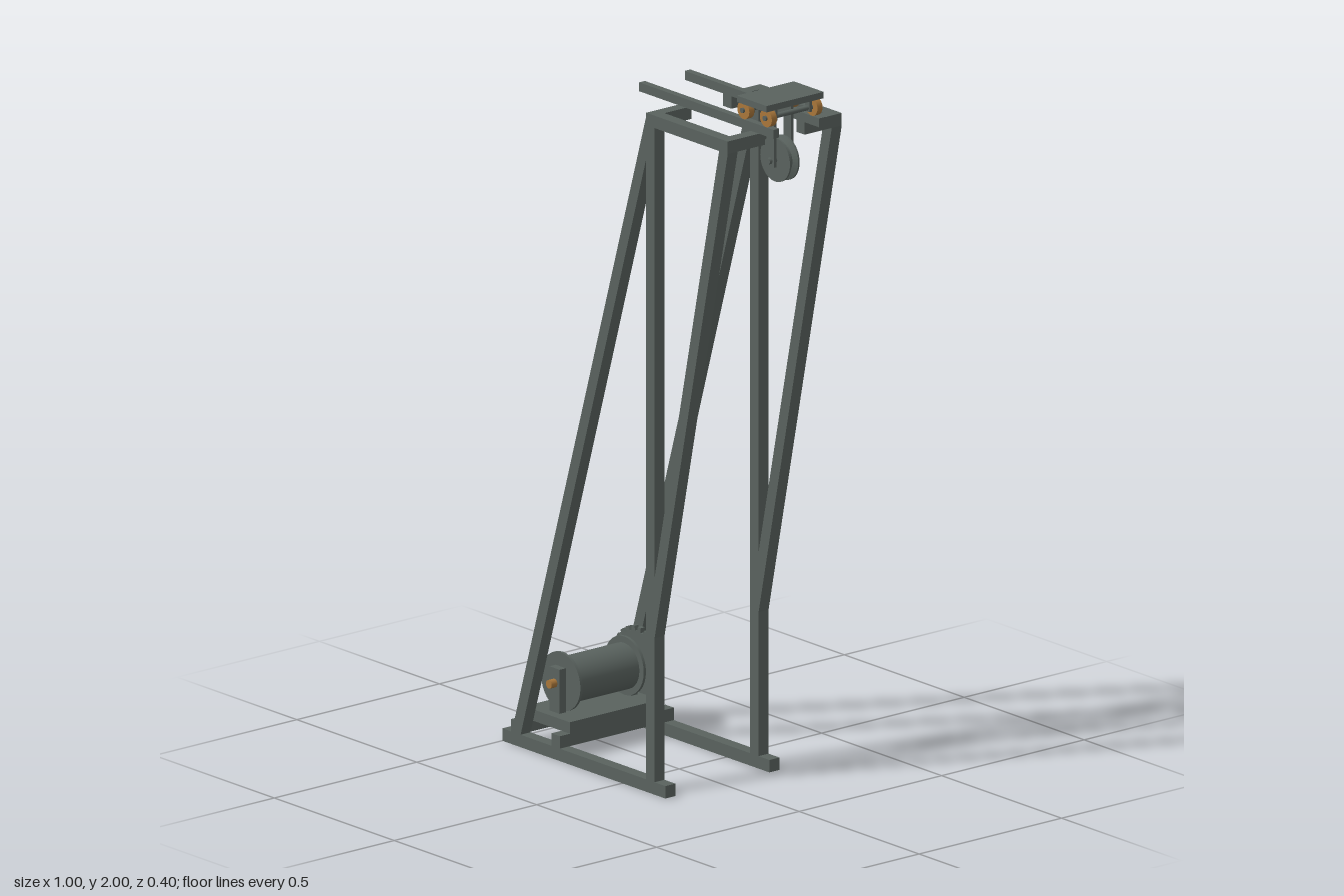
import * as THREE from 'three';

const steel = new THREE.MeshStandardMaterial({ color: 0x59625e });
const brass = new THREE.MeshStandardMaterial({ color: 0xa8763a });

export function createModel() {
  const root = new THREE.Group();
  root.name = 'hoistFrame';

  const add = (parent, name, geometry, material = steel) => {
    const mesh = new THREE.Mesh(geometry, material);
    mesh.name = name;
    parent.add(mesh);
    return mesh;
  };
  const group = (name) => {
    const g = new THREE.Group();
    g.name = name;
    root.add(g);
    return g;
  };
  // Box given by its limits on each axis
  const box = (parent, name, [x0, x1], [y0, y1], [z0, z1]) =>
    add(parent, name, new THREE.BoxGeometry(x1 - x0, y1 - y0, z1 - z0)
      .translate((x0 + x1) / 2, (y0 + y1) / 2, (z0 + z1) / 2));
  // Outline in the xy plane, extruded from z0 to z1
  const plate = (parent, name, points, z0, z1) => {
    const shape = new THREE.Shape(points.map(([x, y]) => new THREE.Vector2(x, y)));
    return add(parent, name, new THREE.ExtrudeGeometry(shape, { depth: z1 - z0, bevelEnabled: false })
      .translate(0, 0, z0));
  };
  // Cylinder lying along z
  const rod = (parent, name, r, x, y, z0, z1, material = steel) =>
    add(parent, name, new THREE.CylinderGeometry(r, r, z1 - z0, 32)
      .rotateX(Math.PI / 2).translate(x, y, (z0 + z1) / 2), material);

  // Two mirrored side frames with the rails on top
  for (const s of [1, -1]) {
    const side = group(s > 0 ? 'nearSideFrame' : 'farSideFrame');
    const span = (a, b) => (s > 0 ? [a, b] : [-b, -a]);
    const outer = span(0.165, 0.2);
    box(side, 'baseBeam', [-0.5, 0.18], [0, 0.035], outer);
    box(side, 'column', [0.1, 0.135], [0.035, 1.875], outer);
    box(side, 'topArm', [0.1, 0.44], [1.875, 1.91], outer);
    plate(side, 'backBrace', [[-0.46, 0.035], [-0.4235, 0.035], [0.1, 1.78], [0.1, 1.9]], ...outer);
    plate(side, 'frontBrace', [[0.135, 0.44], [0.44, 1.875], [0.404, 1.875], [0.135, 0.61]], ...outer);
    for (const x of [0.1, 0.405]) {
      box(side, 'railSupport', [x, x + 0.035], [1.875, 1.91], span(0.07, 0.165));
    }
    box(side, 'rail', [-0.06, 0.5], [1.91, 1.935], span(0.07, 0.09));
  }

  // Winch bed
  const bed = group('winchBed');
  for (const x of [-0.463, -0.295]) {
    box(bed, 'crossBeam', [x, x + 0.035], [0.035, 0.07], [-0.2, 0.2]);
  }
  box(bed, 'bedPlate', [-0.45, -0.26], [0.07, 0.102], [-0.165, 0.165]);

  // Winch: drum, flanges, bearings, shaft and gear
  const winch = group('winch');
  const wx = -0.357, wy = 0.184;
  rod(winch, 'drum', 0.064, wx, wy, -0.11, 0.11);
  for (const s of [1, -1]) {
    rod(winch, 'drumFlange', 0.082, wx, wy, s * 0.111 - 0.004, s * 0.111 + 0.004);
    box(winch, 'bearingBlock', [wx - 0.021, wx + 0.021], [0.102, 0.226],
      [s * 0.126 - 0.011, s * 0.126 + 0.011]);
  }
  rod(winch, 'shaft', 0.012, wx, wy, -0.168, 0.157, brass);
  const teeth = 24, outline = [];
  for (let i = 0; i < teeth; i++) {
    for (const [f, r] of [[0, 0.088], [0.25, 0.088], [0.36, 0.101], [0.8, 0.101], [0.92, 0.088]]) {
      const a = ((i + f) / teeth) * Math.PI * 2;
      outline.push([wx + r * Math.cos(a), wy + r * Math.sin(a)]);
    }
  }
  plate(winch, 'gear', outline, -0.165, -0.151);

  // Trolley running on the rails
  const trolley = group('trolley');
  const tx = 0.42, wheelY = 1.96, pulleyY = 1.818;
  box(trolley, 'deck', [0.359, 0.483], [1.982, 2], [-0.1, 0.1]);
  for (const x of [tx - 0.047, tx + 0.047]) {
    rod(trolley, 'axle', 0.007, x, wheelY, -0.095, 0.095);
    for (const s of [1, -1]) {
      rod(trolley, 'wheel', 0.025, x, wheelY, s * 0.08 - 0.009, s * 0.08 + 0.009, brass);
      box(trolley, 'axleHanger', [x - 0.01, x + 0.01], [1.95, 1.984], [s * 0.06 - 0.004, s * 0.06 + 0.004]);
    }
  }

  // Grooved pulley hanging below the deck
  for (const s of [1, -1]) {
    box(trolley, 'pulleyHanger', [tx - 0.016, tx + 0.016], [1.802, 1.984],
      [s * 0.03 - 0.004, s * 0.03 + 0.004]);
  }
  rod(trolley, 'pulleyPin', 0.009, tx, pulleyY, -0.043, 0.043);
  const profile = [[0, -0.017], [0.062, -0.017], [0.062, -0.012], [0.046, -0.005],
    [0.046, 0.005], [0.062, 0.012], [0.062, 0.017], [0, 0.017]]
    .flatMap(([r, y]) => [new THREE.Vector2(r, y), new THREE.Vector2(r, y)]);
  add(trolley, 'pulley', new THREE.LatheGeometry(profile, 40)
    .rotateX(Math.PI / 2).translate(tx, pulleyY, 0),
  new THREE.MeshStandardMaterial({ color: 0x59625e, flatShading: true }));

  return root;
}
